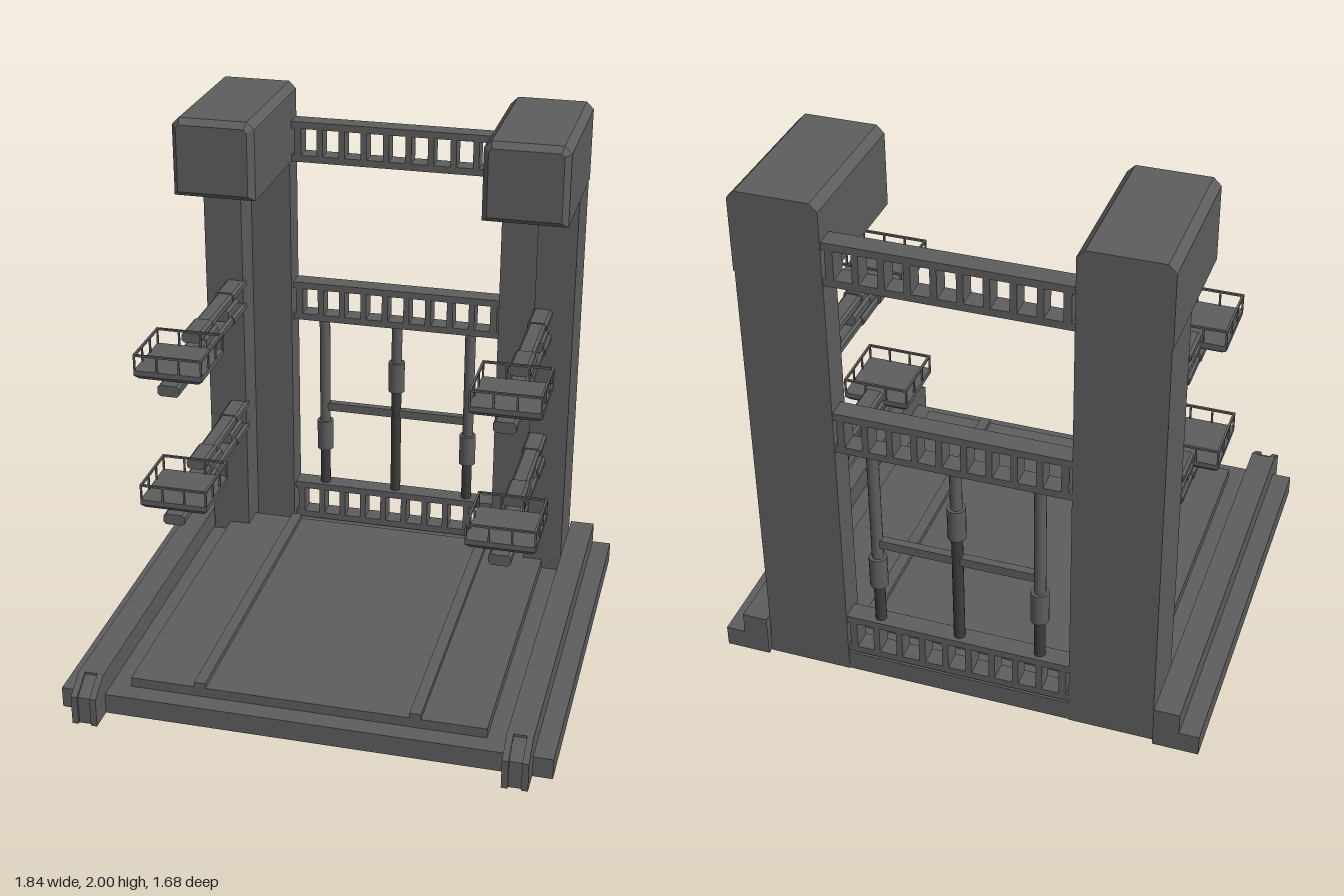
import * as THREE from 'three';
import { ConvexGeometry } from 'three/addons/geometries/ConvexGeometry.js';

const material = new THREE.MeshStandardMaterial({ color: 0x5d5d5d, flatShading: true });
const pipeMaterial = new THREE.MeshStandardMaterial({ color: 0x5d5d5d });
const darkPipeMaterial = new THREE.MeshStandardMaterial({ color: 0x3c3c3c });

function add(parent, name, geometry, mat = material) {
  const mesh = new THREE.Mesh(geometry, mat);
  mesh.name = name;
  parent.add(mesh);
  return mesh;
}

// Box given by its lower and upper limits on each axis
function box(parent, name, x0, x1, y0, y1, z0, z1) {
  const mesh = add(parent, name, new THREE.BoxGeometry(x1 - x0, y1 - y0, z1 - z0));
  mesh.position.set((x0 + x1) / 2, (y0 + y1) / 2, (z0 + z1) / 2);
}

// Convex solid through cross-sections: each is [z, [x, y], [x, y], ...]
function hull(parent, name, sections) {
  const points = sections.flatMap(([z, ...outline]) => outline.map(([x, y]) => new THREE.Vector3(x, y, z)));
  return add(parent, name, new ConvexGeometry(points));
}

// Bar along z with chamfered corners
function chamferedBar(parent, name, w, y0, y1, z0, z1) {
  const c = 0.01;
  const outline = [[-w + c, y0], [w - c, y0], [w, y0 + c], [w, y1 - c], [w - c, y1], [-w + c, y1], [-w, y1 - c], [-w, y0 + c]];
  hull(parent, name, [[z0, ...outline], [z1, ...outline]]);
}

function cylinder(parent, name, radius, x, y0, y1, z, mat) {
  const mesh = add(parent, name, new THREE.CylinderGeometry(radius, radius, y1 - y0, 16), mat);
  mesh.position.set(x, (y0 + y1) / 2, z);
}

// Solid made from a (z, y) side profile, extruded across x
function sideProfile(parent, name, outline, x0, x1) {
  const shape = new THREE.Shape(outline.map(([z, y]) => new THREE.Vector2(-z, y)));
  const geometry = new THREE.ExtrudeGeometry(shape, { depth: x1 - x0, bevelEnabled: false });
  geometry.rotateY(Math.PI / 2);
  geometry.translate(x0, 0, 0);
  add(parent, name, geometry);
}

// Open frame beam with evenly spaced uprights
function createBeam(name, y0, y1) {
  const beam = new THREE.Group();
  beam.name = name;
  const z0 = -0.815, z1 = -0.74;
  box(beam, 'lowerChord', -0.44, 0.44, y0, y0 + 0.028, z0, z1);
  box(beam, 'upperChord', -0.44, 0.44, y1 - 0.028, y1, z0, z1);
  for (let i = 0; i < 10; i++) {
    const x = -0.405 + i * 0.09;
    const w = i % 9 === 0 ? 0.014 : 0.012;
    box(beam, 'upright', x - w, x + w, y0 + 0.028, y1 - 0.028, z0, z1);
  }
  return beam;
}

// Railed work basket on a linked arm; y = 0 is the underside of the arm
function createArm() {
  const arm = new THREE.Group();
  arm.name = 'accessArm';

  // Upper and lower links with knuckles between them
  for (const [z0, z1, w, d] of [[-0.155, -0.01, 0.038, 0], [-0.43, -0.16, 0.033, -0.004], [-0.6, -0.43, 0.038, 0]]) {
    chamferedBar(arm, 'upperLink', w, 0.1 + d, 0.14 + d, z0, z1);
    chamferedBar(arm, 'lowerLink', w, 0, 0.04, z0, z1);
  }
  for (const [z0, z1] of [[-0.23, -0.085], [-0.505, -0.36]]) {
    chamferedBar(arm, 'knuckle', 0.036, 0.046, 0.092, z0, z1);
  }
  chamferedBar(arm, 'basketMount', 0.036, 0.046, 0.087, -0.08, 0.07);
  chamferedBar(arm, 'basketSupport', 0.042, 0, 0.044, 0, 0.265);

  // Tray with tapered underside
  const w = 0.132, v = 0.115;
  hull(arm, 'basketFloor', [
    [0, [-w, 0.092], [w, 0.092], [w, 0.072], [-w, 0.072]],
    [0.265, [-w, 0.092], [w, 0.092], [w, 0.072], [-w, 0.072]],
    [0.01, [-v, 0.058], [v, 0.058]],
    [0.255, [-v, 0.058], [v, 0.058]],
  ]);

  // Guard rail
  const t = 0.009;
  for (const z of [0, 0.265 - t]) box(arm, 'guardRail', -w, w, 0.148, 0.156, z, z + t);
  for (const x of [-w, w - t]) box(arm, 'guardRail', x, x + t, 0.148, 0.156, t, 0.265 - t);
  for (let i = 0; i < 4; i++) {
    for (let j = 0; j < 4; j++) {
      if (i % 3 && j % 3) continue;
      const x = -w + (i * (2 * w - 0.007)) / 3;
      const z = (j * 0.258) / 3;
      box(arm, 'guardPost', x, x + 0.007, 0.092, 0.148, z, z + 0.007);
    }
  }
  return arm;
}

// Limits along x, mirrored for the right side
const mirrored = (side, a, b) => (side > 0 ? [a, b] : [-b, -a]);

// One tower with its overhanging head and two arms
function createTower(side) {
  const tower = new THREE.Group();
  tower.name = side > 0 ? 'leftTower' : 'rightTower';

  // Column: deep outer half, shallow inner half
  box(tower, 'outerColumn', ...mirrored(side, 0.593, 0.747), 0, 1.7, -0.818, -0.57);
  box(tower, 'innerColumn', ...mirrored(side, 0.43, 0.593), 0, 1.7, -0.818, -0.71);

  // Head with bevelled top edges and front
  const outline = (inset, c) => {
    const h = 0.16 - inset, y0 = 1.695 + inset, y1 = 2 - inset;
    return [[-h, y0], [h, y0], [h, y1 - c], [h - c, y1], [-h + c, y1], [-h, y1 - c]];
  };
  const head = hull(tower, 'head', [
    [-0.82, ...outline(0, 0.028)],
    [-0.245, ...outline(0, 0.028)],
    [-0.218, ...outline(0.022, 0.012)],
  ]);
  head.position.x = side * 0.591;

  for (const y of [0.555, 1.093]) {
    const arm = createArm();
    arm.position.set(side * 0.626, y, 0);
    tower.add(arm);
  }
  return tower;
}

export function createModel() {
  const model = new THREE.Group();
  model.name = 'launchGantry';

  // Base platform
  const base = new THREE.Group();
  base.name = 'base';
  model.add(base);
  box(base, 'deck', -0.76, 0.76, 0, 0.08, -0.815, 0.745);
  box(base, 'deckPlate', -0.675, 0.67, 0.08, 0.118, -0.67, 0.67);
  const rail = [[-0.838, 0], [0.838, 0], [0.838, 0.115], [0.75, 0.167], [-0.838, 0.167]];
  const railCore = [[-0.838, 0], [0.828, 0], [0.828, 0.109], [0.745, 0.158], [0.745, 0.167], [-0.838, 0.167]];
  for (const s of [-1, 1]) {
    box(base, 'deckStrip', ...mirrored(s, 0.385, 0.428), 0.118, 0.138, -0.67, 0.67);
    box(base, 'sideStep', ...mirrored(s, 0.848, 0.922), 0, 0.082, -0.838, 0.745);
    sideProfile(base, 'railSide', rail, ...mirrored(s, 0.752, 0.776));
    sideProfile(base, 'railCore', railCore, ...mirrored(s, 0.776, 0.824));
    sideProfile(base, 'railSide', rail, ...mirrored(s, 0.824, 0.848));
    model.add(createTower(s));
  }

  // Cross beams between the towers
  model.add(createBeam('lowerBeam', 0.09, 0.257));
  model.add(createBeam('middleBeam', 1.015, 1.18));
  model.add(createBeam('upperBeam', 1.695, 1.86));

  // Service pipes with sleeves and a tie bar
  const pipes = new THREE.Group();
  pipes.name = 'servicePipes';
  model.add(pipes);
  const z = -0.778;
  for (const [x, y] of [[-0.307, 0.42], [0, 0.72], [0.307, 0.42]]) {
    cylinder(pipes, 'upperPipe', 0.022, x, y + 0.13, 1.02, z, pipeMaterial);
    cylinder(pipes, 'sleeve', 0.034, x, y, y + 0.13, z, pipeMaterial);
    cylinder(pipes, 'lowerPipe', 0.021, x, 0.25, y, z, darkPipeMaterial);
  }
  box(pipes, 'tieBar', -0.307, 0.307, 0.6, 0.635, z - 0.015, z + 0.015);

  return model;
}
